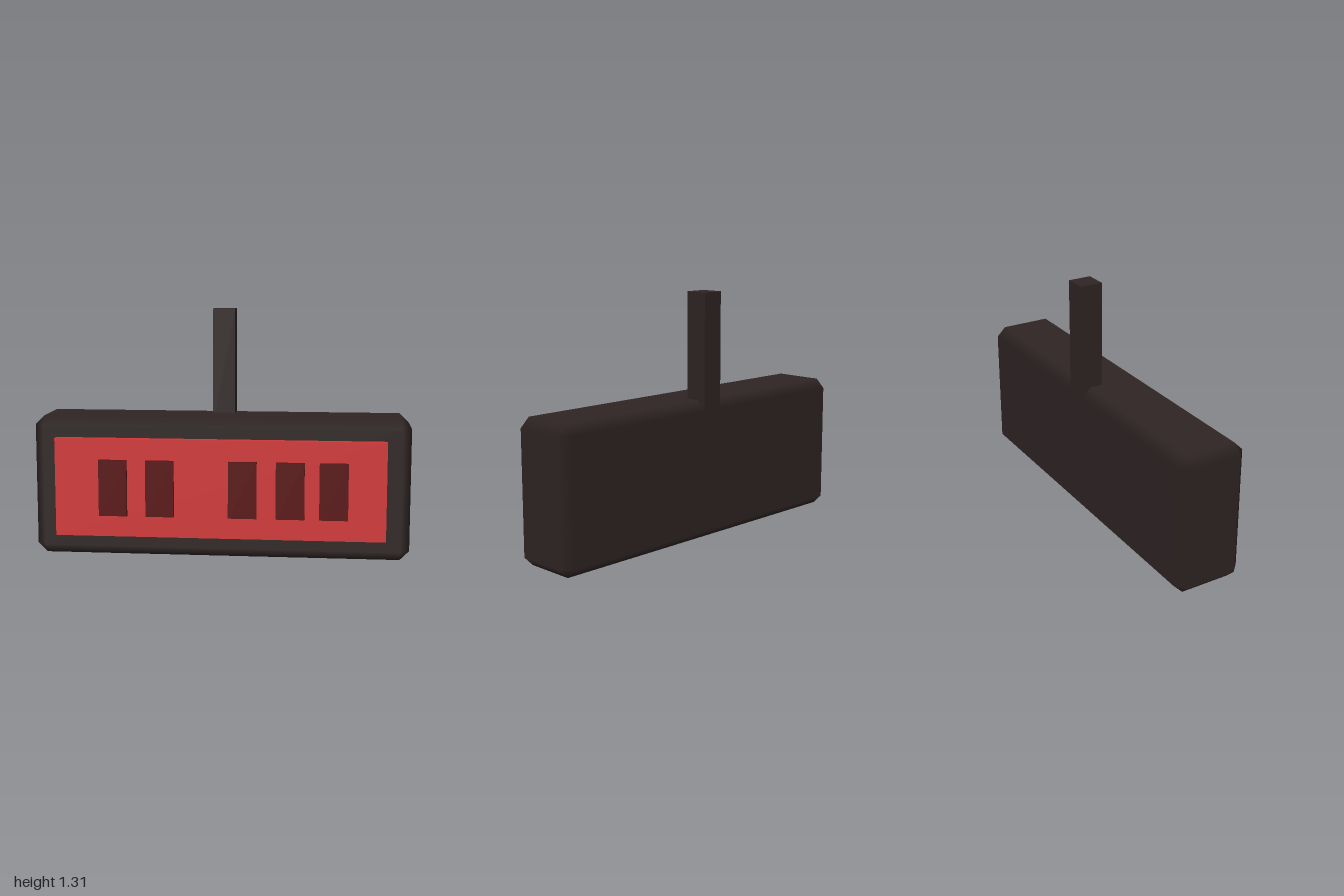
import * as THREE from 'three';
import { ConvexGeometry } from 'three/addons/geometries/ConvexGeometry.js';

// Box with chamfered edges; vertex normals follow the main faces so bevels shade softly.
function chamferedBox(w, h, d, c) {
  const half = [w / 2, h / 2, d / 2];
  const points = [];
  for (let axis = 0; axis < 3; axis++)
    for (const sx of [-1, 1])
      for (const sy of [-1, 1])
        for (const sz of [-1, 1]) {
          const p = [sx, sy, sz].map((s, i) => s * (half[i] - (i === axis ? 0 : c)));
          points.push(new THREE.Vector3(...p));
        }
  const geometry = new ConvexGeometry(points);
  const pos = geometry.attributes.position;
  const normal = geometry.attributes.normal;
  for (let i = 0; i < pos.count; i++) {
    const p = [pos.getX(i), pos.getY(i), pos.getZ(i)];
    const n = p.map((v, k) => (Math.abs(v) > half[k] - c / 2 ? Math.sign(v) : 0));
    normal.setXYZ(i, ...n);
  }
  return geometry;
}

export function createModel() {
  const group = new THREE.Group();
  const casing = new THREE.MeshStandardMaterial({ name: 'dark casing', color: 0x2e2423 });
  const red = new THREE.MeshStandardMaterial({ name: 'red panel', color: 0xd23737 });
  const maroon = new THREE.MeshStandardMaterial({ name: 'dark red', color: 0x590e0e });

  function add(name, geometry, material, x, y, z) {
    const mesh = new THREE.Mesh(geometry, material);
    mesh.name = name;
    mesh.position.set(x, y, z);
    group.add(mesh);
  }
  // Box given by its minimum and maximum on each axis
  function addBox(name, material, [x0, x1], [y0, y1], [z0, z1]) {
    add(name, new THREE.BoxGeometry(x1 - x0, y1 - y0, z1 - z0), material,
      (x0 + x1) / 2, (y0 + y1) / 2, (z0 + z1) / 2);
  }

  // Housing
  add('housing', chamferedBox(2, 0.75, 0.373, 0.05), casing, 0, 0.375, -0.031);
  // Mounting post, flush with the back
  addBox('post', casing, [-0.062, 0.058], [0.68, 1.315], [-0.2165, -0.093]);
  // Front panel
  addBox('panel', red, [-0.876, 0.873], [0.116, 0.64], [0.1, 0.201]);
  // Raised blocks on the panel
  [-0.564, -0.314, 0.123, 0.373, 0.6].forEach((x, i) =>
    addBox(`block${i + 1}`, maroon, [x - 0.075, x + 0.075], [0.229, 0.529], [0.18, 0.2175]));

  return group;
}
